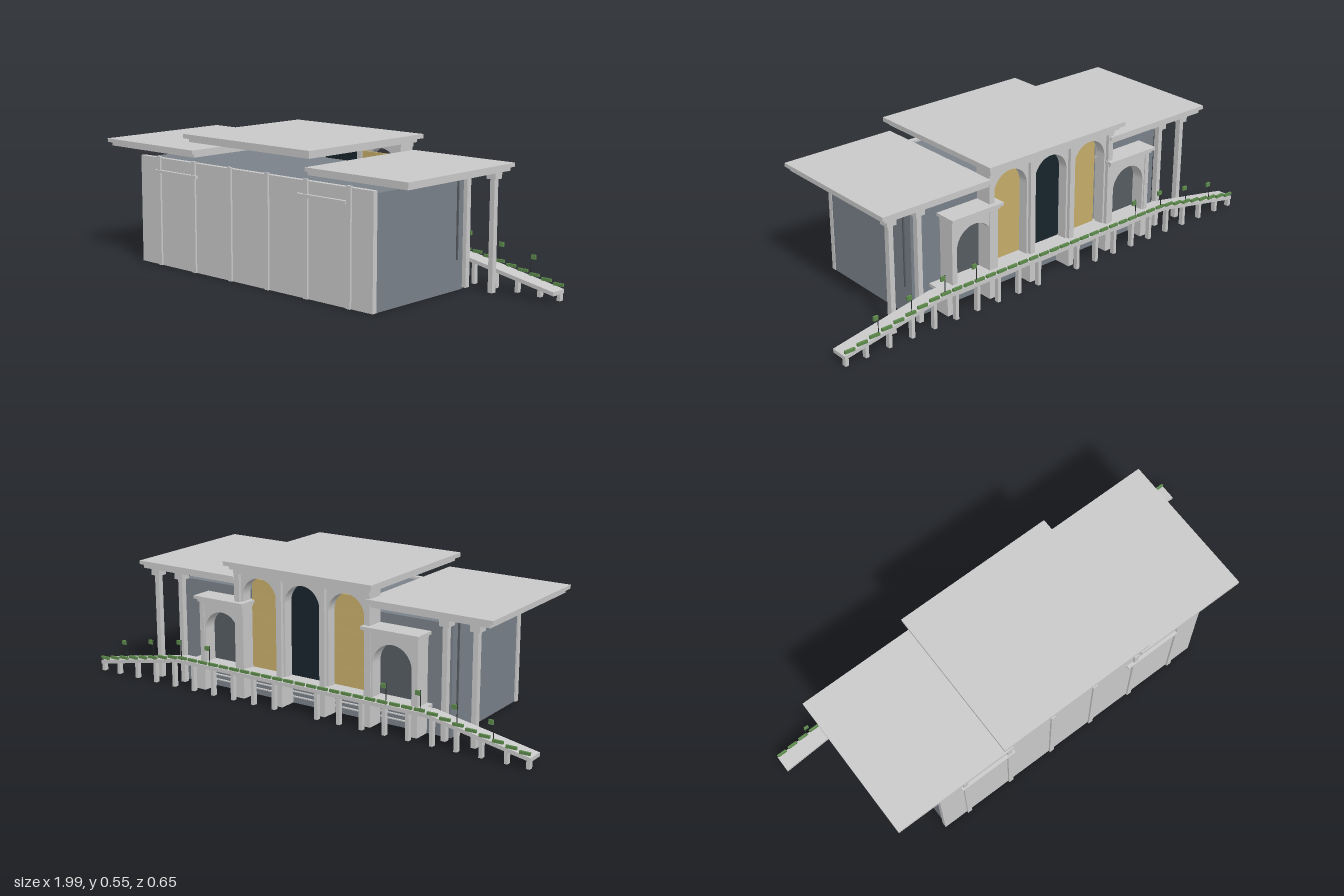
import * as THREE from 'three';

const mat = (name, color, side = THREE.FrontSide) => {
  const m = new THREE.MeshStandardMaterial({ color, side });
  m.name = name;
  return m;
};

export function createModel() {
  const stone = mat('pale stone', 0xc9c9ca);
  const slate = mat('slate wall', 0x7a8189);
  const glass = mat('dark door', 0x18242c);
  const sand = mat('sand panel', 0xc6ae6a);
  const green = mat('hedge green', 0x5d8a4c);
  const shade = mat('window strip', 0x565c62);
  const pole = mat('pole', 0x2a2d2e);

  const root = new THREE.Group();
  root.name = 'pavilion';

  // Box given by its limits on each axis
  const box = (name, m, x0, x1, y0, y1, z0, z1) => {
    const mesh = new THREE.Mesh(new THREE.BoxGeometry(x1 - x0, y1 - y0, z1 - z0), m);
    mesh.position.set((x0 + x1) / 2, (y0 + y1) / 2, (z0 + z1) / 2);
    mesh.name = name;
    root.add(mesh);
    return mesh;
  };
  const extrude = (name, shape, m, z0, z1) => {
    const g = new THREE.ExtrudeGeometry(shape, { depth: z1 - z0, bevelEnabled: false, curveSegments: 16 });
    const mesh = new THREE.Mesh(g, m);
    mesh.position.z = z0;
    mesh.name = name;
    root.add(mesh);
  };
  // Wall with round-headed openings that reach down to its foot
  const archWall = (name, x0, x1, y0, y1, z0, z1, centres, r, spring) => {
    const s = new THREE.Shape();
    s.moveTo(x0, y1);
    s.lineTo(x0, y0);
    centres.forEach((c) => {
      s.lineTo(c - r, y0);
      s.lineTo(c - r, spring);
      s.absarc(c, spring, r, Math.PI, 0, true);
      s.lineTo(c + r, y0);
    });
    s.lineTo(x1, y0);
    s.lineTo(x1, y1);
    extrude(name, s, stone, z0, z1);
  };

  // Main hall and front wall
  box('hall', slate, -0.618, 0.618, 0, 0.428, -0.21, 0.284);
  box('frontWall', stone, -0.625, 0.62, 0, 0.438, 0.283, 0.304);
  for (const x of [-0.51, -0.305, -0.1, 0.1, 0.3, 0.51]) {
    box('frontPilaster', stone, x - 0.01, x + 0.01, 0, 0.445, 0.3, 0.312);
  }

  // Roofs
  box('centreRoof', stone, -0.34, 0.337, 0.535, 0.552, -0.316, 0.328);
  box('centreCornice', stone, -0.325, 0.32, 0.52, 0.535, -0.3, 0.312);
  box('roofWingRight', stone, -0.817, -0.295, 0.475, 0.49, -0.289, 0.323);
  box('roofWingLeft', stone, 0.31, 0.79, 0.475, 0.49, -0.289, 0.323);
  box('corniceWingRight', stone, -0.803, -0.3, 0.46, 0.475, -0.28, 0.309);
  box('corniceWingLeft', stone, 0.31, 0.777, 0.46, 0.475, -0.28, 0.309);

  // Three-arched centre of the facade
  archWall('facadeWall', -0.305, 0.305, 0.11, 0.52, -0.268, -0.226, [-0.2, 0, 0.2], 0.08, 0.412);
  for (const x of [-0.3, -0.1, 0.1, 0.3]) {
    box('facadePilaster', stone, x - 0.012, x + 0.012, 0, 0.52, -0.282, -0.21);
  }
  box('facadeFrieze', stone, -0.312, 0.312, 0.503, 0.52, -0.287, -0.214);
  box('centreDoor', glass, -0.088, 0.088, 0.118, 0.5, -0.222, -0.214);
  for (const x of [-0.19, 0.19]) {
    // Sand doors are rows of flat boards
    for (let i = 0; i < 5; i++) {
      const y = 0.118 + i * 0.0714;
      box('sandDoorBoard', sand, x - 0.082, x + 0.082, y, y + 0.0712, -0.222, -0.214);
    }
  }

  // Side arches with their caps
  for (const [x0, x1] of [[-0.518, -0.296], [0.272, 0.488]]) {
    const c = (x0 + x1) / 2;
    archWall('sideArch', x0, x1, 0.11, 0.366, -0.278, -0.226, [c], 0.083, 0.25);
    box('sideArchPanel', shade, c - 0.098, c + 0.098, 0.118, 0.355, -0.217, -0.211);
    box('sideArchFrieze', stone, x0 - 0.004, x1 + 0.004, 0.365, 0.378, -0.29, -0.214);
    box('sideArchCap', stone, x0 - 0.012, x1 + 0.012, 0.378, 0.39, -0.302, -0.211);
    box('frontBeam', stone, x0 - 0.012, x1 + 0.012, 0.378, 0.39, 0.3, 0.318);
    for (const x of [x0 + 0.01, x1 - 0.01]) {
      box('sideArchPier', stone, x - 0.01, x + 0.01, 0, 0.366, -0.282, -0.212);
    }
  }

  // Columns below the wing roofs, and strips on the end walls
  for (const s of [-1, 1]) {
    for (const x of [0.61 * s, 0.733 * s]) {
      box('columnShaft', stone, x - 0.01, x + 0.01, 0, 0.432, -0.253, -0.23);
      box('columnCapital', stone, x - 0.02, x + 0.02, 0.43, 0.46, -0.262, -0.22);
    }
    box('endStrip', shade, 0.618 * s - 0.006, 0.618 * s + 0.006, 0.118, 0.445, -0.176, -0.17);
  }

  // Walkway with sloping ends
  const deckY = (x) => Math.min(0.12, 0.043 + (1 - Math.abs(x)) * 0.183);
  const bend = 0.58;
  const deck = new THREE.Shape();
  deck.moveTo(-0.995, 0.028);
  deck.lineTo(-bend, 0.105);
  deck.lineTo(bend, 0.105);
  deck.lineTo(0.995, 0.028);
  deck.lineTo(0.995, 0.043);
  deck.lineTo(bend, 0.12);
  deck.lineTo(-bend, 0.12);
  deck.lineTo(-0.995, 0.043);
  extrude('walkway', deck, stone, -0.325, -0.255);
  box('terrace', stone, -0.54, 0.54, 0.106, 0.118, -0.256, -0.21);

  // Posts along the outer edge, piers and slats below the terrace
  for (const s of [-1, 1]) {
    for (const x of [0.1, 0.2, 0.3, 0.4, 0.5, 0.6, 0.7, 0.8, 0.9, 0.985]) {
      box('walkwayPost', stone, s * x - 0.007, s * x + 0.007, 0, deckY(x) - 0.008, -0.323, -0.304);
    }
    for (const x of [0.1, 0.3, 0.5]) {
      box('terracePier', stone, s * x - 0.013, s * x + 0.013, 0, 0.11, -0.282, -0.21);
    }
  }
  for (const y of [0.028, 0.049, 0.07, 0.091]) {
    box('terraceSlat', stone, -0.5, 0.5, y - 0.002, y + 0.002, -0.218, -0.209);
  }

  // Green edging in short level lengths
  for (let i = 0; i < 38; i++) {
    const x = -0.972 + (i * 1.944) / 37;
    const y = deckY(x);
    box('hedge', green, x - 0.021, x + 0.021, y + 0.003, y + 0.014, -0.327, -0.318);
  }

  // Small flags on thin poles
  for (const s of [-1, 1]) {
    for (const x of [0.41, 0.555, 0.705, 0.85]) {
      const y = deckY(x);
      box('flagPole', pole, s * x - 0.0012, s * x + 0.0012, y, y + 0.083, -0.3235, -0.3215);
      box('flag', green, s * x, s * x + 0.02, y + 0.063, y + 0.08, -0.327, -0.319);
    }
  }
  return root;
}
